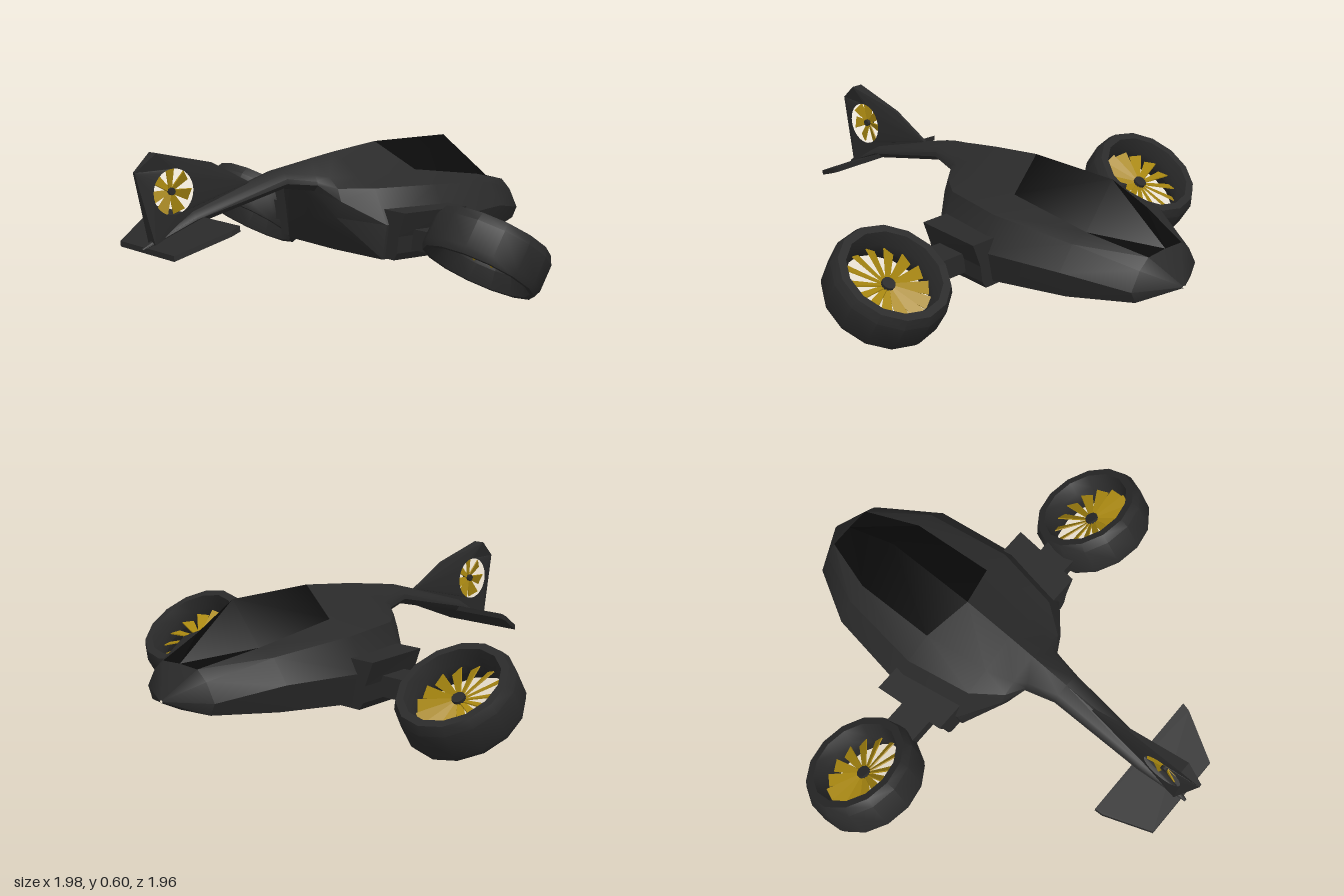
import * as THREE from 'three';
import { toCreasedNormals } from 'three/addons/utils/BufferGeometryUtils.js';

const paint = (color) => new THREE.MeshStandardMaterial({ color });
const hullMat = paint(0x2a2a2a), glassMat = paint(0x0a0a0a), goldMat = paint(0xa88710);

function add(parent, name, geometry, material) {
  const mesh = new THREE.Mesh(geometry, material);
  mesh.name = name;
  parent.add(mesh);
  return mesh;
}

const polygon = (points) => new THREE.Shape(points.map(([x, y]) => new THREE.Vector2(x, y)));

// Apply a rule to every vertex of a geometry
function reshape(geometry, rule) {
  const p = geometry.attributes.position, v = new THREE.Vector3();
  for (let i = 0; i < p.count; i++) {
    rule(v.fromBufferAttribute(p, i));
    p.setXYZ(i, v.x, v.y, v.z);
  }
  geometry.computeVertexNormals();
  return geometry;
}

// Fuselage stations: z, ridge z, ridge y, roof edge, shoulder, widest point, lower edge, bottom y
const stations = [
  [-0.975, -0.975, 0.225, 0.004, 0.225, 0.006, 0.223, 0.008, 0.22, 0.004, 0.217, 0.215],
  [-0.88, -0.88, 0.35, 0.10, 0.345, 0.15, 0.305, 0.195, 0.23, 0.17, 0.18, 0.17],
  [-0.64, -0.61, 0.558, 0.18, 0.40, 0.26, 0.375, 0.33, 0.28, 0.29, 0.168, 0.155],
  [-0.27, -0.21, 0.56, 0.19, 0.455, 0.31, 0.405, 0.385, 0.27, 0.36, 0.145, 0.138],
  [0.01, 0.01, 0.535, 0.15, 0.445, 0.26, 0.41, 0.335, 0.27, 0.31, 0.125, 0.12],
  [0.13, 0.13, 0.518, 0.115, 0.45, 0.17, 0.41, 0.19, 0.36, 0.16, 0.29, 0.27],
  [0.18, 0.18, 0.51, 0.085, 0.46, 0.1, 0.435, 0.105, 0.42, 0.08, 0.395, 0.39],
  [0.31, 0.31, 0.49, 0.05, 0.475, 0.07, 0.455, 0.072, 0.435, 0.05, 0.415, 0.41],
  [0.73, 0.73, 0.37, 0.03, 0.36, 0.045, 0.345, 0.05, 0.335, 0.035, 0.315, 0.31],
  [0.95, 0.95, 0.24, 0.003, 0.24, 0.006, 0.237, 0.006, 0.235, 0.004, 0.23, 0.23],
];

function stationRing([z, ridgeZ, ridgeY, ex, ey, sx, sy, wx, wy, lx, ly, bottomY]) {
  const side = [[ex, ey, z], [sx, sy, z], [wx, wy, z], [lx, ly, z]];
  const mirrored = side.map(([x, y, d]) => [-x, y, d]).reverse();
  return [[0, ridgeY, ridgeZ], ...side, [0, bottomY, z], ...mirrored];
}

// Skin the stations, keeping only the panels that pass the test
function skin(rings, keep) {
  const n = rings[0].length, index = [];
  for (let i = 0; i < rings.length - 1; i++) {
    for (let j = 0; j < n; j++) {
      if (!keep(i, j)) continue;
      const k = (j + 1) % n;
      const a = i * n + j, b = i * n + k, c = a + n - j + k, d = a + n;
      if (j < n / 2) index.push(a, d, c, a, c, b);
      else index.push(a, d, b, b, d, c);
    }
  }
  const g = new THREE.BufferGeometry();
  g.setAttribute('position', new THREE.Float32BufferAttribute(rings.flat(2), 3));
  g.setIndex(index);
  return toCreasedNormals(g, 0.6);
}

// Bladed fan spinning about y
function makeFan(name, radius, count, chord, pitch) {
  const fan = new THREE.Group();
  fan.name = name;
  const hub = radius * 0.16;
  const blade = new THREE.BoxGeometry(radius - hub * 0.5, 0.005, chord);
  blade.translate((radius + hub * 0.5) / 2, 0, 0);
  reshape(blade, (v) => { v.z *= 0.25 + 0.75 * v.x / radius; });
  blade.rotateX(pitch);
  for (let i = 0; i < count; i++) {
    add(fan, 'fanBlade', blade, goldMat).rotation.y = (i / count) * Math.PI * 2;
  }
  add(fan, 'fanHub', new THREE.CylinderGeometry(hub, hub, 0.035, 10), hullMat);
  return fan;
}

// Tilted ducted rotor
function makeDuct(side) {
  const duct = new THREE.Group();
  duct.name = side > 0 ? 'leftDuct' : 'rightDuct';
  const profile = [
    [0.235, -0.087], [0.246, -0.06], [0.246, 0.05], [0.228, 0.087], [0.195, 0.087],
    [0.176, 0.03], [0.176, -0.02], [0.215, -0.087], [0.235, -0.087],
  ].map(([r, y]) => new THREE.Vector2(r, y));
  add(duct, 'ductShroud', toCreasedNormals(new THREE.LatheGeometry(profile, 14), 0.6), hullMat);
  duct.add(makeFan('rotor', 0.176, 14, 0.055, 0.5 * side));
  duct.position.set(0.752 * side, 0.205, -0.14);
  duct.rotation.x = -0.576;
  return duct;
}

// Shoulder block and arm that carry a duct
function makeMount(side) {
  const mount = new THREE.Group();
  mount.name = side > 0 ? 'leftMount' : 'rightMount';
  const section = [[0.28, 0.33], [0.46, 0.33], [0.42, 0.23], [0.41, 0.16], [0.39, 0.13], [0.28, 0.13]];
  const block = new THREE.ExtrudeGeometry(polygon(section.map(([x, y]) => [x * side, y])),
    { depth: 0.31, bevelEnabled: false });
  block.translate(0, 0, -0.31);
  reshape(block, (v) => { if (v.z > -0.1) v.x *= 0.94; });
  add(mount, 'shoulderBlock', block, hullMat);
  const arm = add(mount, 'ductArm', new THREE.BoxGeometry(0.16, 0.085, 0.14), hullMat);
  arm.position.set(0.46 * side, 0.212, -0.14);
  return mount;
}

function makeTail() {
  const tail = new THREE.Group();
  tail.name = 'tail';

  // Upright fin with a round opening, thinned towards its edges
  const outline = polygon([[0.45, 0.45], [0.63, 0.545], [0.895, 0.605], [0.98, 0.535],
    [0.905, 0.25], [0.74, 0.32]]);
  const opening = new THREE.Path();
  opening.absarc(0.82, 0.45, 0.09, 0, Math.PI * 2, true);
  outline.holes.push(opening);
  const fin = new THREE.ExtrudeGeometry(outline, { depth: 0.05, bevelEnabled: false, curveSegments: 16 });
  fin.translate(0, 0, -0.025).rotateY(-Math.PI / 2);
  reshape(fin, (v) => { if (v.z < 0.7 || v.z > 0.95) v.x *= 0.25; });
  add(tail, 'fin', fin, hullMat);

  const fan = makeFan('tailRotor', 0.09, 7, 0.05, 0.35);
  fan.position.set(0, 0.45, 0.82);
  fan.rotation.z = Math.PI / 2;
  tail.add(fan);

  // Sloping stabilizer
  const plan = polygon([[-0.29, 0.7], [0.29, 0.7], [0.285, 0.735], [0.19, 0.93], [-0.19, 0.93], [-0.285, 0.735]]);
  const plane = new THREE.ExtrudeGeometry(plan, { depth: 0.022, bevelEnabled: false });
  plane.rotateX(Math.PI / 2);
  reshape(plane, (v) => { v.y += 0.342 - (v.z - 0.7) * 0.44; });
  add(tail, 'stabilizer', plane, hullMat);
  return tail;
}

export function createModel() {
  const model = new THREE.Group();
  model.name = 'aircraft';
  const rings = stations.map(stationRing);
  const isGlass = (i, j) => (i === 1 || i === 2) && (j === 0 || j === 9);
  add(model, 'fuselage', skin(rings, (i, j) => !isGlass(i, j)), hullMat);
  add(model, 'canopy', skin(rings, isGlass), glassMat);
  for (const side of [1, -1]) model.add(makeMount(side), makeDuct(side));
  model.add(makeTail());
  return model;
}
